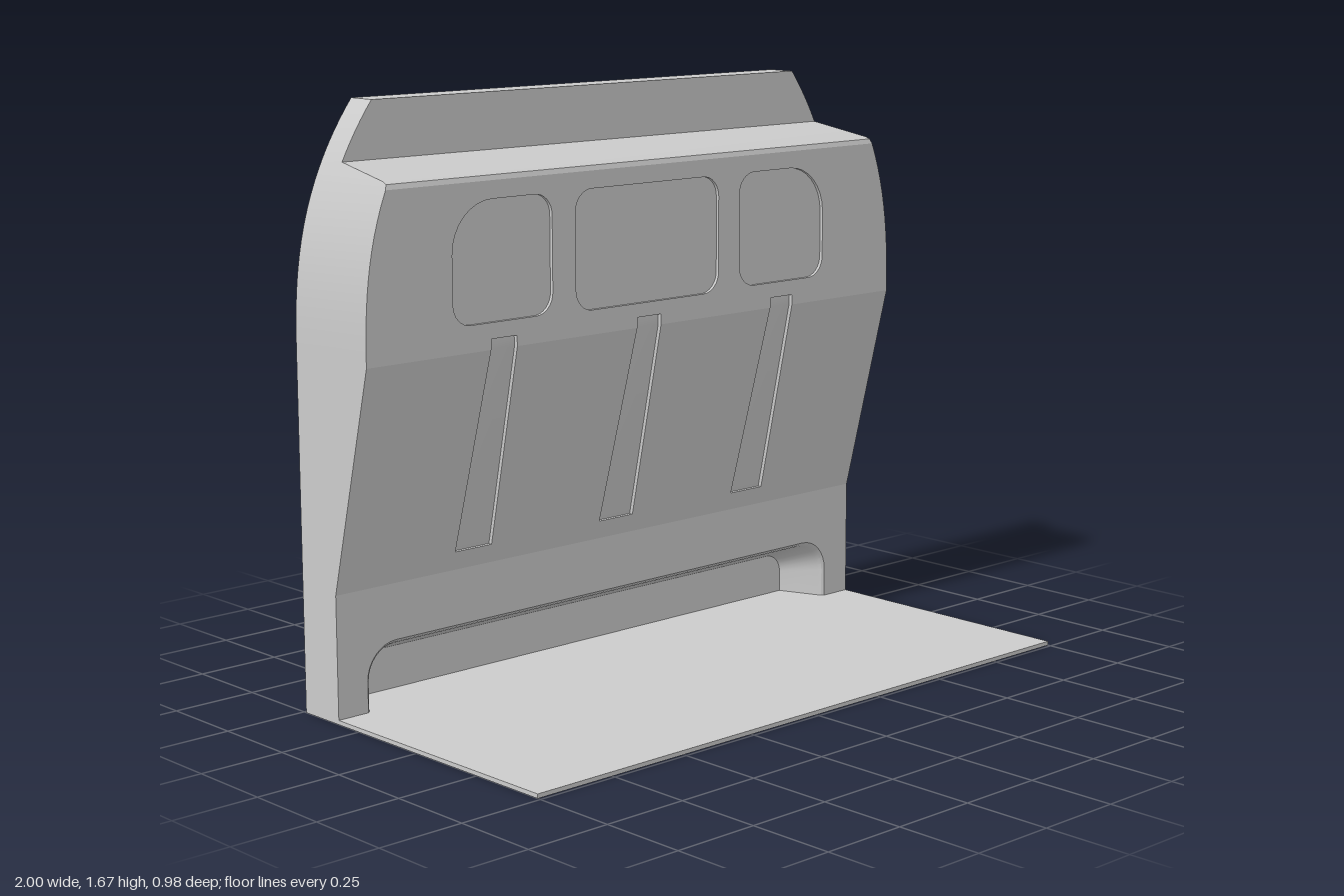
import * as THREE from 'three';
import { toCreasedNormals } from 'three/addons/utils/BufferGeometryUtils.js';

const BACK = -0.49, T = 0.015, TOP = 1.675;
const V = (x, y, z) => new THREE.Vector3(x, y, z);
const material = new THREE.MeshStandardMaterial({ color: 0xcccccc, side: THREE.DoubleSide });

// half width of the panel at a height, narrowing along a curve towards the roof
const halfWidth = y => (y < 1 ? 1 : 1 - 0.2 * Math.pow((y - 1) / 0.675, 2.6));
// depth of the front face below the ledge
const frontZ = y => -0.34 + 0.16 * THREE.MathUtils.clamp((y - 0.36) / 0.64, 0, 1);

// side profile [z, y], subdivided so the curved sides stay smooth
const corners = [[-0.34, 0], [-0.34, 0.36], [-0.18, 1], [-0.18, 1.46], [-0.185, 1.474],
  [-0.2, 1.48], [-0.4, 1.515], [-0.4, TOP], [BACK, TOP]];
const profile = [corners[0]];
for (let i = 1; i < corners.length; i++) {
  const [a, b] = [corners[i - 1], corners[i]];
  const n = i === 3 ? 12 : i === 7 ? 6 : 1;
  for (let k = 1; k <= n; k++) {
    profile.push([a[0] + (b[0] - a[0]) * k / n, a[1] + (b[1] - a[1]) * k / n]);
  }
}

// surface through rows of points
function loft(rows) {
  const n = rows[0].length, index = [];
  for (let r = 0; r < rows.length - 1; r++) {
    for (let c = 0; c < n - 1; c++) {
      const a = r * n + c, b = a + n;
      index.push(a, a + 1, b + 1, a, b + 1, b);
    }
  }
  const g = new THREE.BufferGeometry().setFromPoints(rows.flat());
  g.setIndex(index);
  return toCreasedNormals(g, 0.45);
}

// flat outline with holes, laid onto the front face
function plate(outline, holes = [], inset = 0) {
  const shape = new THREE.Shape(outline);
  shape.holes = holes.map(h => new THREE.Path(h));
  const g = new THREE.ShapeGeometry(shape);
  const p = g.attributes.position;
  for (let i = 0; i < p.count; i++) p.setZ(i, frontZ(p.getY(i)) - inset);
  g.computeVertexNormals();
  return g;
}

// rounded rectangle outline; radii: bottom right, top right, top left, bottom left
function roundedRect(x0, x1, y0, y1, radii) {
  const pts = [];
  [[x1, y0, -1, 1], [x1, y1, -1, -1], [x0, y1, 1, -1], [x0, y0, 1, 1]].forEach(([x, y, sx, sy], i) => {
    const r = radii[i];
    for (let k = 0; k <= 8; k++) {
      const a = (i - 1 + k / 8) * Math.PI / 2;
      pts.push(new THREE.Vector2(x + sx * r + r * Math.cos(a), y + sy * r + r * Math.sin(a)));
    }
  });
  return pts;
}

// round-shouldered opening standing on the floor, from left foot to right foot
function arch(hw, top, r) {
  const pts = [new THREE.Vector2(-hw, 0)];
  for (const s of [-1, 1]) {
    for (let k = 0; k <= 8; k++) {
      const a = (s < 0 ? Math.PI - k * Math.PI / 16 : Math.PI / 2 - k * Math.PI / 16);
      pts.push(new THREE.Vector2(s * (hw - r) + r * Math.cos(a), top - r + r * Math.sin(a)));
    }
  }
  pts.push(new THREE.Vector2(hw, 0));
  return pts;
}

export function createModel() {
  const model = new THREE.Group();
  const add = (name, g, parent = model) => {
    const m = new THREE.Mesh(g, material);
    m.name = name;
    parent.add(m);
  };
  const P2 = (x, y) => new THREE.Vector2(x, y);

  // floor
  const floor = new THREE.BoxGeometry(2, 0.012, 0.98);
  floor.translate(0, 0.006, 0);
  add('floor', floor);

  // lower front, outer and inner skins, cut out for the foot recess
  const lower = opening => [P2(1, 0), P2(1, 0.36), P2(-1, 0.36), P2(-1, 0), ...opening];
  add('lowerFront', plate(lower(arch(0.9, 0.2, 0.1))));
  add('lowerFrontInner', plate(lower(arch(0.92, 0.215, 0.1)).map(p =>
    P2(THREE.MathUtils.clamp(p.x, T - 1, 1 - T), p.y)), [], T));

  // foot recess with tapering walls and its hull behind
  const recess = (name, sections) => {
    const rows = sections.map(([hw, top, r, z]) => arch(hw, top, r).map(p => V(p.x, p.y, z)));
    add(name + 'Walls', loft(rows));
    const [hw, top, r, z] = sections.at(-1);
    const end = new THREE.ShapeGeometry(new THREE.Shape(arch(hw, top, r)));
    end.translate(0, 0, z);
    add(name + 'Back', end);
  };
  recess('footRecess', [[0.9, 0.2, 0.1, -0.34], [0.893, 0.193, 0.095, -0.346],
    [0.888, 0.186, 0.092, -0.358], [0.84, 0.135, 0.06, -0.48]]);
  recess('footRecessHull', [[0.92, 0.215, 0.1, -0.355], [0.9, 0.155, 0.1, -0.488]]);

  // sunken slots running over the bend between slope and upper front
  const slotXs = [-0.535, 0, 0.535], levels = [0.415, 1, 1.03], depth = 0.012;
  const slotHalf = y => 0.065 - 0.02 * (y - 0.415) / 0.615;
  const slope = [P2(-1, 0.36), P2(1, 0.36), P2(1, 1)];
  const upper = [];
  for (const x of slotXs) {
    const left = levels.map(y => P2(x - slotHalf(y), y));
    const right = levels.map(y => P2(x + slotHalf(y), y));
    upper.push(left[1], left[2], right[2], right[1]);
    const ring = [...left, ...right.reverse(), left[0]];
    add('slotWalls', loft([0, depth].map(d => ring.map(p => V(p.x, p.y, frontZ(p.y) - d)))));
    add('slotFloor', loft(levels.map(y =>
      [-1, 1].map(s => V(x + s * slotHalf(y), y, frontZ(y) - depth)))));
  }
  slope.push(...[...upper].filter(p => p.y === 1).length ? slotXs.slice().reverse().flatMap(x => [
    P2(x + slotHalf(1), 1), P2(x + slotHalf(0.415), 0.415),
    P2(x - slotHalf(0.415), 0.415), P2(x - slotHalf(1), 1)]) : [], P2(-1, 1));
  add('slopingFront', plate(slope));

  // upper front with three shallow window panels
  const windows = [
    roundedRect(-0.71, -0.36, 1.075, 1.41, [0.06, 0.06, 0.14, 0.06]),
    roundedRect(-0.275, 0.275, 1.07, 1.41, [0.06, 0.06, 0.06, 0.06]),
    roundedRect(0.36, 0.71, 1.075, 1.41, [0.06, 0.14, 0.06, 0.06])];
  const edge = profile.filter(p => p[1] >= 1 && p[1] <= 1.46).map(p => p[1]);
  const upperOutline = [P2(-1, 1), ...upper, ...edge.map(y => P2(halfWidth(y), y)),
    ...edge.slice(1).reverse().map(y => P2(-halfWidth(y), y))];
  add('upperFront', plate(upperOutline, windows));
  for (const w of windows) {
    const ring = [...w, w[0]];
    add('windowRim', loft([0, 0.01].map(d => ring.map(p => V(p.x, p.y, frontZ(p.y) - d)))));
    add('windowPanel', plate(w, [], 0.01));
  }

  // ledge, header and roof edge
  add('ledgeAndHeader', loft(profile.filter(p => p[1] >= 1.459).map(([z, y]) =>
    [V(-halfWidth(y), y, z), V(halfWidth(y), y, z)])));

  // inner skin, offset by the wall thickness
  const inner = profile.map(([z, y]) => ({
    w: halfWidth(y) - T, y: y > 1.45 ? y - T : y, z: Math.max(z - T, BACK) }));
  add('innerSkin', loft(inner.filter(p => p.y >= 0.36).map(p =>
    [V(p.w, p.y, p.z), V(-p.w, p.y, p.z)])));

  // side walls, inner side walls and the rim round the open back
  for (const s of [-1, 1]) {
    const side = new THREE.Group();
    side.name = s > 0 ? 'leftSide' : 'rightSide';
    model.add(side);
    const order = row => (s > 0 ? row : row.reverse());
    add('sideWall', loft(profile.map(([z, y]) =>
      order([V(s * halfWidth(y), y, z), V(s * halfWidth(y), y, BACK)]))), side);
    add('sideWallInner', loft(inner.map(p =>
      order([V(s * p.w, p.y, BACK), V(s * p.w, p.y, p.z)]))), side);
    add('backRim', loft(profile.map(([, y], i) =>
      order([V(s * halfWidth(y), y, BACK), V(s * inner[i].w, inner[i].y, BACK)]))), side);
  }
  add('topRim', loft([[V(-0.8, TOP - T, BACK), V(-0.8, TOP, BACK)],
    [V(0.8, TOP - T, BACK), V(0.8, TOP, BACK)]]));

  return model;
}
